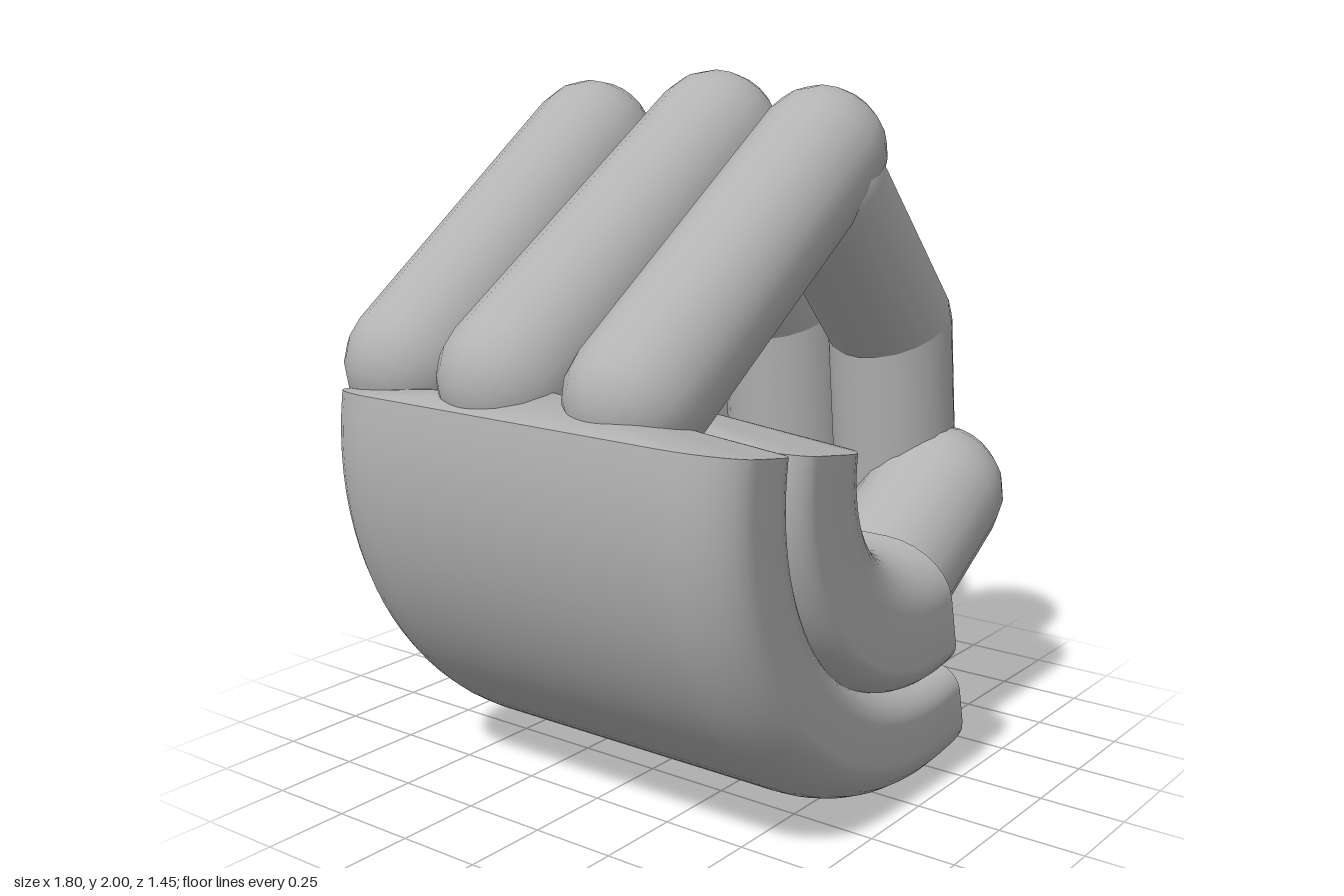
import * as THREE from 'three';

const grey = new THREE.MeshStandardMaterial({ color: 0xb3b3b3 });
grey.name = 'matte grey';

// Rod with rounded ends between two points
function rod(name, a, b, radius) {
  const from = new THREE.Vector3(...a), to = new THREE.Vector3(...b);
  const axis = to.clone().sub(from);
  const mesh = new THREE.Mesh(new THREE.CapsuleGeometry(radius, axis.length(), 5, 20), grey);
  mesh.position.copy(from).add(to).multiplyScalar(0.5);
  mesh.quaternion.setFromUnitVectors(new THREE.Vector3(0, 1, 0), axis.normalize());
  mesh.name = name;
  return mesh;
}

// Rounded cross-section as [radius, z] pairs, with elliptical corners
function section(rIn, rOut, inner, outer) {
  const half = 0.685, zMid = 0.04, steps = 7, points = [];
  const corners = [
    [rOut, 1, outer, 1], [rIn, 1, inner, -1], [rIn, -1, inner, -1], [rOut, -1, outer, 1],
  ];
  corners.forEach(([r, zSide, [cr, cz], rSide], k) => {
    for (let i = 0; i <= steps; i++) {
      const t = (k + i / steps) * Math.PI / 2;
      points.push([
        r - rSide * cr + cr * Math.cos(t),
        zMid + zSide * (half - cz) + cz * Math.sin(t),
      ]);
    }
  });
  return points;
}

// Curved palm pad: the section swept round an arc, closed by shallow pointed ends
function pad(name, rIn, rOut, inner, outer) {
  const profile = section(rIn, rOut, inner, outer);
  const n = profile.length, steps = 32, cx = 0.1, cy = 1.0;
  const a0 = THREE.MathUtils.degToRad(170.5), a1 = THREE.MathUtils.degToRad(282.5);
  const pos = [], idx = [];
  const put = (r, z, a, push = 0) => pos.push(
    cx + r * Math.cos(a) - push * Math.sin(a), cy + r * Math.sin(a) + push * Math.cos(a), z);

  for (let i = 0; i <= steps; i++) {
    const a = a0 + (a1 - a0) * i / steps;
    profile.forEach(([r, z]) => put(r, z, a));
  }
  for (let i = 0; i < steps; i++) {
    for (let j = 0; j < n; j++) {
      const p = i * n + j, q = i * n + (j + 1) % n;
      idx.push(p, p + n, q, q, p + n, q + n);
    }
  }
  // End caps have their own vertices so the rim stays sharp
  for (const [a, side] of [[a0, -1], [a1, 1]]) {
    const base = pos.length / 3;
    profile.forEach(([r, z]) => put(r, z, a));
    put((rIn + rOut) / 2, 0.04, a, side * 0.075);
    for (let j = 0; j < n; j++) {
      const p = base + j, q = base + (j + 1) % n;
      if (side < 0) idx.push(p, q, base + n);
      else idx.push(q, p, base + n);
    }
  }
  const geo = new THREE.BufferGeometry();
  geo.setAttribute('position', new THREE.Float32BufferAttribute(pos, 3));
  geo.setIndex(idx);
  geo.computeVertexNormals();
  const mesh = new THREE.Mesh(geo, grey);
  mesh.name = name;
  return mesh;
}

export function createModel() {
  const model = new THREE.Group();
  model.name = 'grippingHand';

  // Palm: two nested curved pads
  model.add(pad('outerPalm', 0.68, 1.0, [0.08, 0.1], [0.13, 0.2]));
  model.add(pad('innerPalm', 0.3, 0.69, [0.16, 0.2], [0.08, 0.1]));

  // Fingers: base, knuckle, middle start, bend and tip, each as [x, y]
  const fingers = [
    { name: 'frontFinger', z: 0.27, r: 0.19,
      path: [[-0.64, 1.21], [0.185, 1.775], [0.19, 1.68], [0.59, 1.24], [0.64, 0.77]] },
    { name: 'middleFinger', z: -0.13, r: 0.197,
      path: [[-0.67, 1.22], [0.225, 1.803], [0.23, 1.7], [0.6, 1.25], [0.645, 0.737]] },
    { name: 'backFinger', z: -0.535, r: 0.193,
      path: [[-0.63, 1.21], [0.14, 1.772], [0.15, 1.68], [0.56, 1.25], [0.707, 0.893]] },
  ];
  for (const { name, z, r, path } of fingers) {
    const finger = new THREE.Group();
    finger.name = name;
    const p = path.map(([x, y]) => [x, y, z]);
    finger.add(
      rod('proximalSegment', p[0], p[1], r),
      rod('middleSegment', p[2], p[3], r),
      rod('tipSegment', p[3], p[4], r),
    );
    model.add(finger);
  }

  // Thumb: a bar across the palm edge and a forward pointing tip
  const thumb = new THREE.Group();
  thumb.name = 'thumb';
  thumb.add(
    rod('thumbBase', [0.39, 0.58, -0.385], [0.39, 0.54, 0.2], 0.2),
    rod('thumbTip', [0.22, 0.465, 0.42], [0.635, 0.72, 0.42], 0.208),
  );
  model.add(thumb);
  return model;
}
